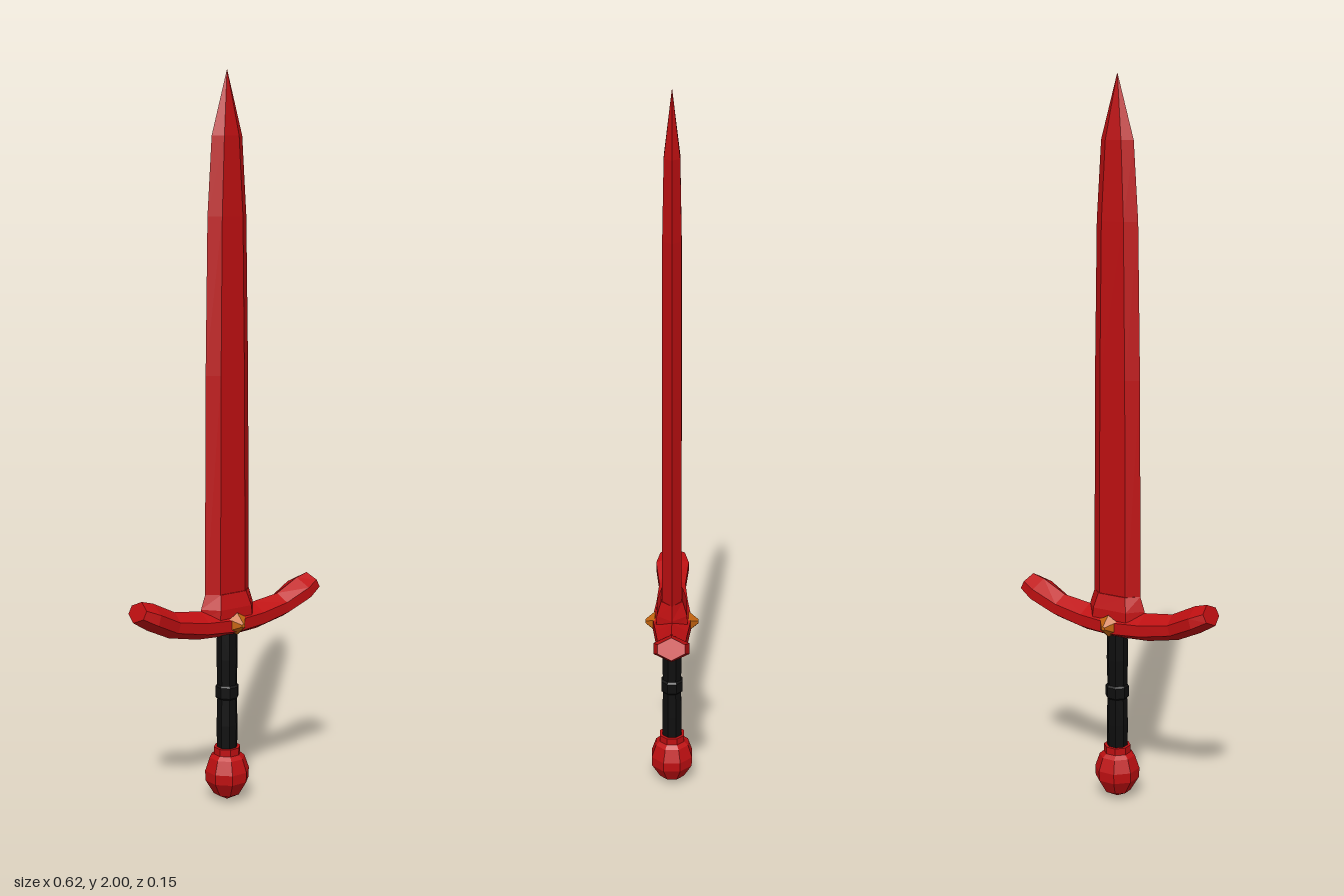
import * as THREE from 'three';

const red = new THREE.MeshStandardMaterial({ color: 0xbe0f11 });
red.name = 'crimson metal';
const black = new THREE.MeshStandardMaterial({ color: 0x0e0e0e });
black.name = 'black leather';
const orange = new THREE.MeshStandardMaterial({ color: 0xc4640f });
orange.name = 'amber';

// Flat-faced skin through rings that run counter-clockwise about the loft axis
function loft(rings) {
  const pos = [];
  const tri = (...pts) => pts.forEach((p) => pos.push(...p));
  const n = rings[0].length;
  for (let i = 0; i < rings.length - 1; i++) {
    for (let j = 0; j < n; j++) {
      const k = (j + 1) % n;
      const a = rings[i][j], b = rings[i][k], c = rings[i + 1][k], d = rings[i + 1][j];
      tri(a, b, c);
      tri(a, c, d);
    }
  }
  const first = rings[0], last = rings[rings.length - 1];
  for (let j = 1; j < n - 1; j++) {
    tri(first[0], first[j + 1], first[j]);
    tri(last[0], last[j], last[j + 1]);
  }
  const g = new THREE.BufferGeometry();
  g.setAttribute('position', new THREE.Float32BufferAttribute(pos, 3));
  g.computeVertexNormals();
  return g;
}

// Hexagonal blade section: half width w, half flat f, half depth d
const bladeRing = ([y, w, f, d]) => [
  [w, y, 0], [f, y, -d], [-f, y, -d], [-w, y, 0], [-f, y, d], [f, y, d],
];

// Guard section between a top and a bottom ridge point, half depth w
function guardRing([topX, topY, botX, botY, w]) {
  const at = (t, z) => [botX + (topX - botX) * t, botY + (topY - botY) * t, z];
  return [at(0.3, -w), at(0.7, -w), at(1, 0), at(0.7, w), at(0.3, w), at(0, 0)];
}

// Eight-sided turned part with a flat face to the front
function turned(profile) {
  const pts = profile.map(([r, y]) => new THREE.Vector2(r, y));
  const g = new THREE.LatheGeometry(pts, 8, Math.PI / 8).toNonIndexed();
  g.computeVertexNormals();
  return g;
}

export function createModel() {
  const sword = new THREE.Group();
  sword.name = 'sword';
  const add = (name, geometry, material) => {
    const mesh = new THREE.Mesh(geometry, material);
    mesh.name = name;
    sword.add(mesh);
    return mesh;
  };

  // Blade with a flat fuller face and a pointed tip
  add('blade', loft([
    [0.54, 0.075, 0.042, 0.027],
    [1.2, 0.071, 0.039, 0.026],
    [1.62, 0.064, 0.034, 0.025],
    [1.83, 0.05, 0.024, 0.021],
    [2.0, 0.0005, 0.0003, 0.0003],
  ].map(bladeRing)), red);

  // Flared collar at the blade root
  add('collar', loft([
    [0.53, 0.09, 0.054, 0.044],
    [0.56, 0.088, 0.052, 0.042],
    [0.6, 0.074, 0.043, 0.03],
  ].map(bladeRing)), red);

  // Upswept crossguard, mirrored about the middle
  const half = [
    [0.09, 0.556, 0.1, 0.478, 0.045],
    [0.175, 0.567, 0.195, 0.498, 0.038],
    [0.245, 0.602, 0.265, 0.531, 0.048],
    [0.281, 0.612, 0.308, 0.558, 0.036],
  ];
  const mirrored = half.map(([tx, ty, bx, by, w]) => [-tx, ty, -bx, by, w]).reverse();
  add('crossguard',
    loft([...mirrored, [0, 0.553, 0, 0.472, 0.055], ...half].map(guardRing)), red);

  // Faceted studs on both faces of the guard
  for (const side of [1, -1]) {
    const g = new THREE.CylinderGeometry(0.006, 0.031, 0.028, 6).toNonIndexed();
    g.computeVertexNormals();
    const stud = add(side > 0 ? 'frontStud' : 'backStud', g, orange);
    stud.rotation.x = side * Math.PI / 2;
    stud.position.set(0, 0.517, side * 0.061);
  }

  // Wrapped grip with a slightly raised middle band
  add('grip', turned([
    [0.029, 0.14], [0.03, 0.22], [0.028, 0.295], [0.033, 0.3],
    [0.033, 0.33], [0.028, 0.335], [0.03, 0.41], [0.029, 0.49],
  ]), black);

  // Pommel
  add('pommel', turned([
    [0, 0], [0.038, 0.02], [0.062, 0.06], [0.063, 0.088],
    [0.05, 0.125], [0.038, 0.135], [0.038, 0.155], [0, 0.155],
  ]), red);

  return sword;
}
